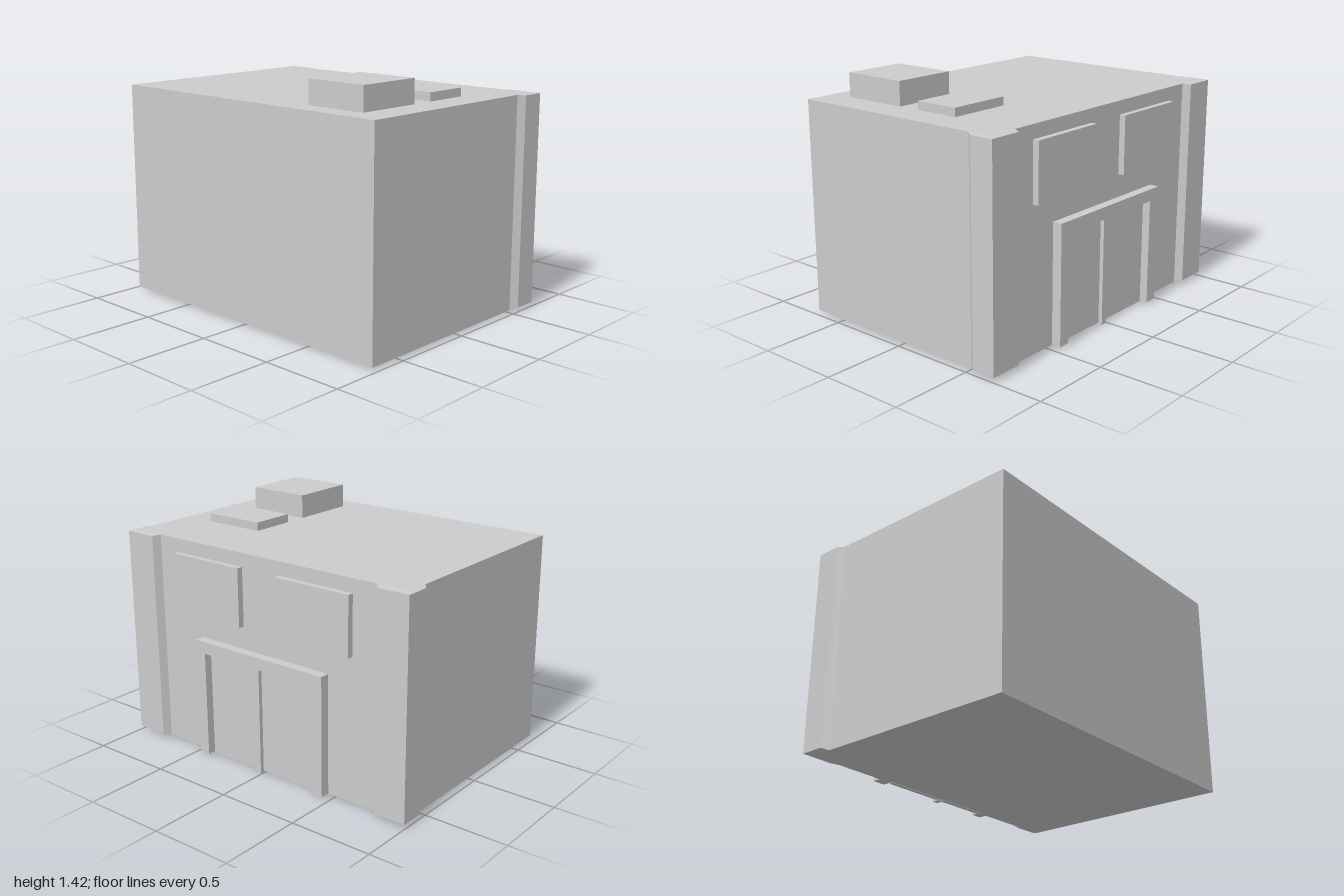
import * as THREE from 'three';

const grey = new THREE.MeshStandardMaterial({ color: 0xcccccc, flatShading: true });
const pane = new THREE.MeshStandardMaterial({ color: 0xeeeeee, flatShading: true });

export function createModel() {
  const model = new THREE.Group();

  const add = (name, geometry, material = grey) => {
    const mesh = new THREE.Mesh(geometry, material);
    mesh.name = name;
    model.add(mesh);
    return mesh;
  };

  // Box given by its limits on each axis
  const box = (name, [x0, x1], [y0, y1], [z0, z1], material) =>
    add(name, new THREE.BoxGeometry(x1 - x0, y1 - y0, z1 - z0)
      .translate((x0 + x1) / 2, (y0 + y1) / 2, (z0 + z1) / 2), material);

  // Outline in the (z, y) plane of the facade, pushed out from x0 to x1
  const facadePart = (name, outline, hole, x0, x1) => {
    const toPoints = (list) => list.map(([z, y]) => new THREE.Vector2(-z, y));
    const shape = new THREE.Shape(toPoints(outline));
    if (hole) shape.holes.push(new THREE.Path(toPoints(hole)));
    const geometry = new THREE.ExtrudeGeometry(shape, { depth: x1 - x0, bevelEnabled: false });
    return add(name, geometry.rotateY(Math.PI / 2).translate(x0, 0, 0));
  };
  const rect = (z0, z1, y0, y1) => [[z0, y0], [z1, y0], [z1, y1], [z0, y1]];

  // Main block
  box('building', [-0.705, 0.648], [0.012, 1.28], [-0.967, 0.967]);

  // Corner pillars wrapping the facade edges, ends sloping back to the block
  for (const side of [1, -1]) {
    const outline = [[0.51, 0.967], [0.55, 0.998], [0.692, 0.998], [0.692, 0.8], [0.648, 0.775], [0.648, 0.967]];
    const shape = new THREE.Shape(outline.map(([x, z]) => new THREE.Vector2(x, -z * side)));
    const geometry = new THREE.ExtrudeGeometry(shape, { depth: 1, bevelEnabled: false });
    geometry.rotateX(-Math.PI / 2);
    const p = geometry.attributes.position;
    for (let i = 0; i < p.count; i++) {
      const outer = p.getX(i) > 0.67 || Math.abs(p.getZ(i)) > 0.98;
      const top = p.getY(i) > 0.5;
      p.setY(i, top ? (outer ? 1.276 : 1.28) : (outer ? 0.026 : 0.012));
    }
    geometry.computeVertexNormals();
    add(side > 0 ? 'leftPillar' : 'rightPillar', geometry);
  }

  // Upper windows
  for (const shift of [0, -0.762]) {
    facadePart('windowFrame', rect(0.14 + shift, 0.635 + shift, 0.855, 1.2),
      rect(0.2 + shift, 0.59 + shift, 0.9, 1.155), 0.64, 0.685);
    box('windowPane', [0.64, 0.652], [0.89, 1.165], [0.19 + shift, 0.6 + shift], pane);
  }

  // Doorway: surround open at the bottom, two door panels and a centre post
  facadePart('doorFrame', [[0.465, 0.014], [0.465, 0.72], [-0.46, 0.72], [-0.46, 0.014],
    [-0.378, 0.014], [-0.378, 0.648], [0.397, 0.648], [0.397, 0.014]], null, 0.64, 0.705);
  box('doorPanel', [0.63, 0.656], [0.008, 0.65], [0.045, 0.4], pane);
  box('doorPanel', [0.63, 0.656], [0.008, 0.65], [-0.38, 0.008], pane);
  box('doorPost', [0.64, 0.68], [0, 0.65], [0.008, 0.045]);

  // Rooftop units
  box('largeRoofUnit', [-0.57, -0.167], [1.27, 1.42], [0.39, 0.775]);
  box('smallRoofUnit', [-0.03, 0.24], [1.27, 1.33], [0.39, 0.775]);

  return model;
}
